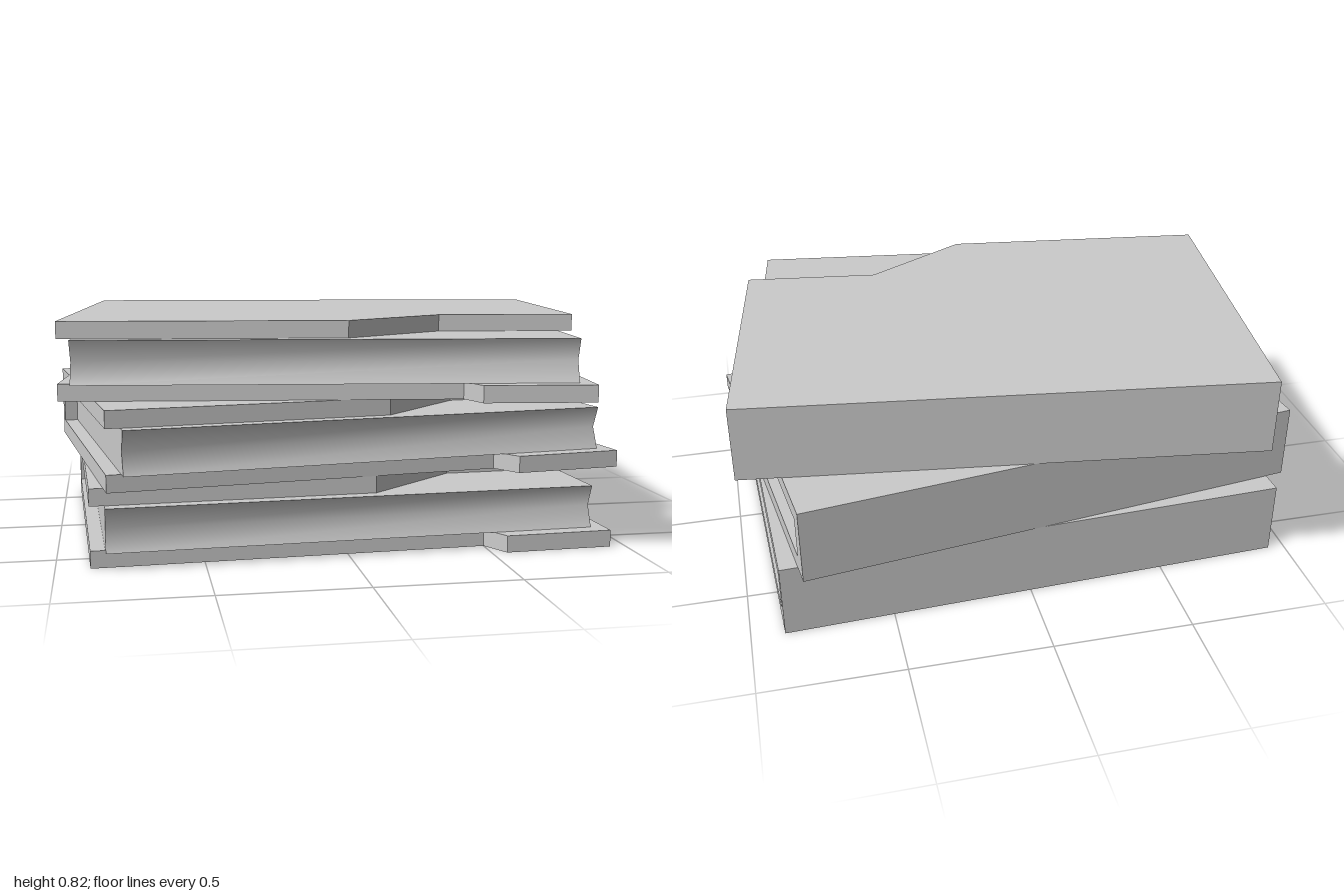
import * as THREE from 'three';
import { toCreasedNormals } from 'three/addons/utils/BufferGeometryUtils.js';

const W = 1.825, T = 0.06, H = 0.272; // book width, cover thickness, book height
const material = new THREE.MeshStandardMaterial({ color: 0xcccccc });

const shapeOf = (points) => new THREE.Shape(points.map(([x, y]) => new THREE.Vector2(x, y)));
const extrude = (points, depth) =>
  new THREE.ExtrudeGeometry(shapeOf(points), { depth, bevelEnabled: false });

// Cover boards lie flat: outline x runs along the spine, y towards the fore edge
const board = (points) => extrude(points, T).rotateX(Math.PI / 2).translate(0, T, 0);

// Upper board has its right front corner torn back, lower board has a small jutting tab
const upperBoard = board([[0, 0], [W, 0], [W, 1.0], [1.336, 1.0], [0.988, 1.277], [0, 1.28]]);
const lowerBoard = board([[0, 0], [W, 0], [W, 1.385], [1.435, 1.385], [1.385, 1.28], [0, 1.28]]);

const spineGeometry = new THREE.BoxGeometry(W, H - 2 * T, T).translate(W / 2, H / 2, T / 2);

// Page block with a hollowed fore edge, softly shaded across the hollow
const pageProfile = [[-T, T], [-T, H - T], [-1.328, H - T], [-1.297, H / 2], [-1.328, T]];
const pageGeometry = toCreasedNormals(
  extrude(pageProfile, W - 0.1).rotateY(Math.PI / 2).translate(0.05, 0, 0), 0.9);

function part(name, geometry, y = 0) {
  const mesh = new THREE.Mesh(geometry, material);
  mesh.name = name;
  mesh.position.y = y;
  return mesh;
}

function createBook(name) {
  const book = new THREE.Group();
  book.name = name;
  book.add(
    part('lowerCover', lowerBoard),
    part('upperCover', upperBoard, H - T),
    part('spine', spineGeometry),
    part('pages', pageGeometry));
  return book;
}

export function createModel() {
  const stack = new THREE.Group();
  stack.name = 'bookStack';
  // Each book: back left corner x, z and its turn about the vertical
  const placements = [
    ['bottomBook', -0.94, -0.65, 0.044],
    ['middleBook', -1.0, -0.558, 0.137],
    ['topBook', -0.82, -0.798, -0.126],
  ];
  placements.forEach(([name, x, z, turn], i) => {
    const book = createBook(name);
    book.position.set(x, i * H, z);
    book.rotation.y = turn;
    stack.add(book);
  });
  return stack;
}
